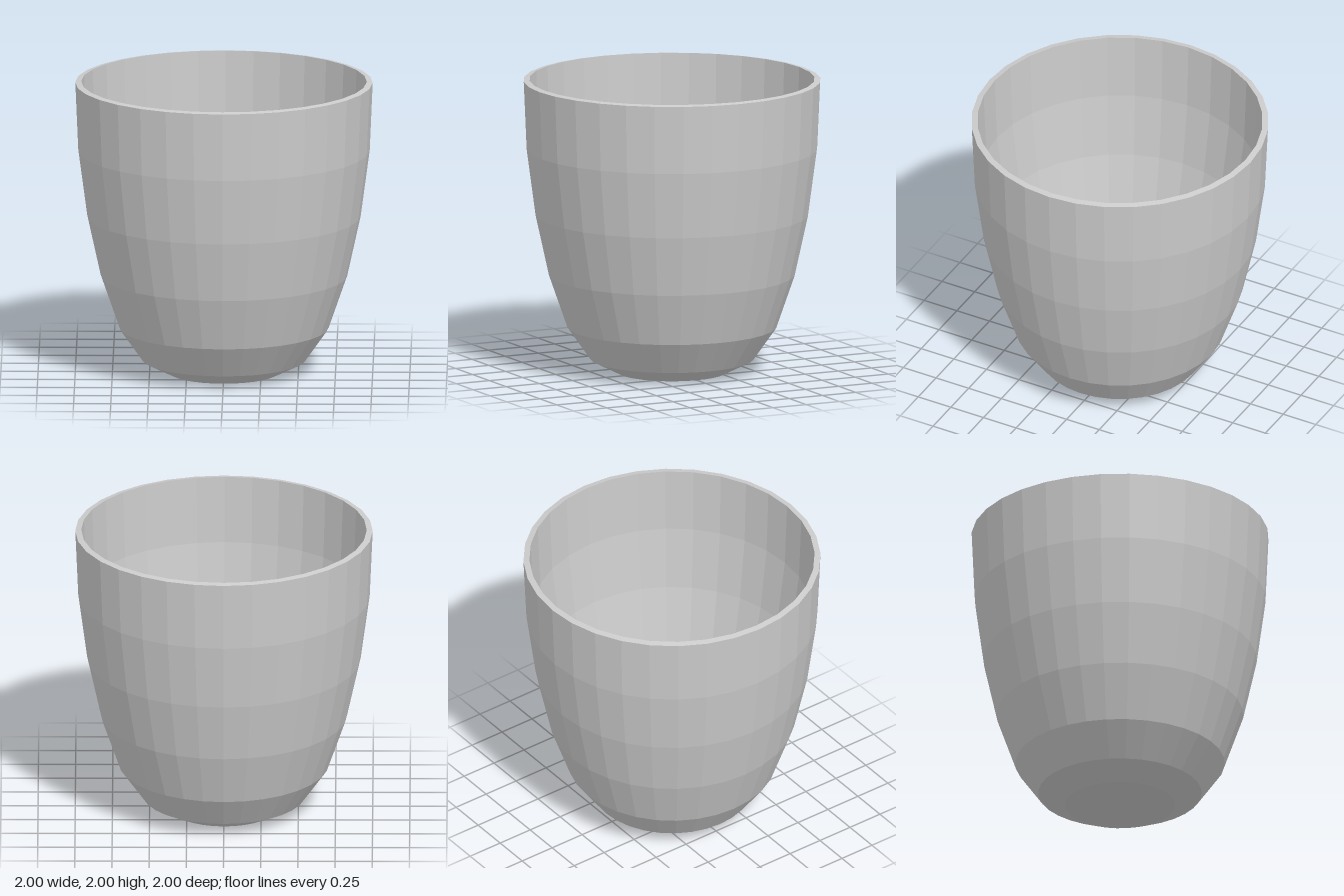
import * as THREE from 'three';

export function createModel() {
  const group = new THREE.Group();
  group.name = 'cup';

  // Closed wall profile: outer side going up, over the rim, inner side going down
  const outer = [[0, 0], [0.37, 0], [0.55, 0.09], [0.705, 0.31], [0.83, 0.67], [0.92, 1.08], [0.98, 1.53], [1, 1.993]];
  const inner = [[0.96, 2], [0.942, 1.535], [0.882, 1.09], [0.793, 0.685], [0.67, 0.33], [0.53, 0.125], [0.366, 0.04], [0, 0.04]];
  const profile = [...outer, ...inner].map(([r, y]) => new THREE.Vector2(r, y));

  // Faceted cup body with 32 sides
  const material = new THREE.MeshStandardMaterial({ color: 0xcccccc, flatShading: true });
  const body = new THREE.Mesh(new THREE.LatheGeometry(profile, 32), material);
  body.name = 'cupBody';
  group.add(body);
  return group;
}
